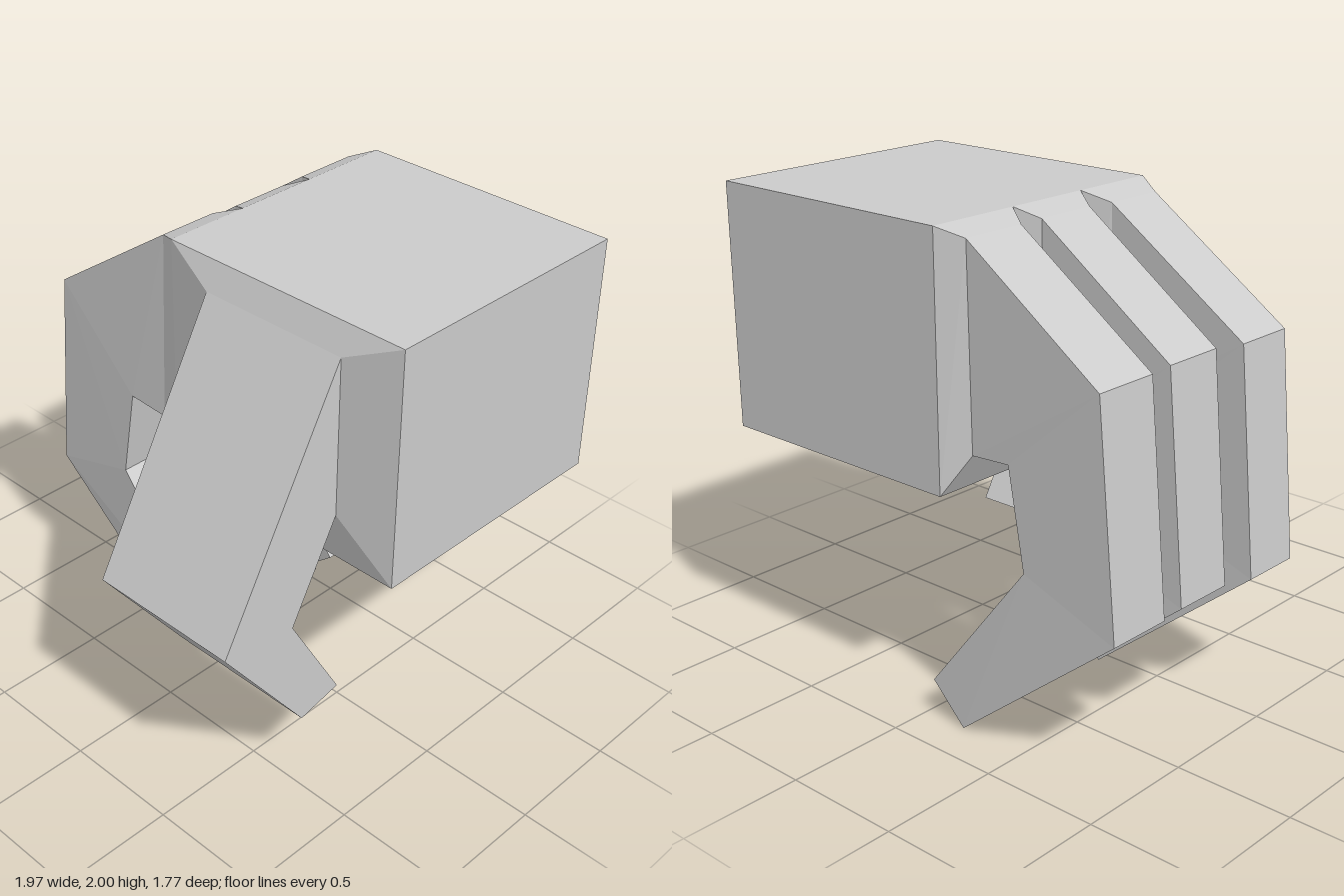
import * as THREE from 'three';

const material = new THREE.MeshStandardMaterial({ color: 0xcccccc, flatShading: true });

// Skin a chain of four-cornered sections and close the far end.
// Corners run clockwise as seen from the far end, starting on the outer side.
function loft(name, sections) {
  const pos = [];
  const quad = (a, b, c, d) => pos.push(...a, ...b, ...c, ...a, ...c, ...d);
  for (let s = 0; s < sections.length - 1; s++) {
    const p = sections[s], q = sections[s + 1];
    for (let i = 0; i < 4; i++) {
      const j = (i + 1) % 4;
      quad(p[i], q[i], q[j], p[j]);
    }
  }
  const [a, b, c, d] = sections[sections.length - 1];
  quad(d, c, b, a);
  const geometry = new THREE.BufferGeometry();
  geometry.setAttribute('position', new THREE.Float32BufferAttribute(pos, 3));
  geometry.computeVertexNormals();
  const mesh = new THREE.Mesh(geometry, material);
  mesh.name = name;
  return mesh;
}

// Curled finger: wide root on the palm, then root collar, two knuckles and tip
function finger(name, { root, outer, inner, dx, dy }) {
  const profile = [ // outer x, y, inner x, y
    [-0.28, 1.96, -0.28, 1.15],
    [-0.91, 1.53, -0.475, 1.16],
    [-0.985, 0.61, -0.545, 0.755],
    [-0.23, 0.003, -0.06, 0.15],
  ];
  const sections = [[
    [-0.17, 2, root[0]], [-0.17, 2, root[1]],
    [-0.17, 0.985, root[1]], [-0.17, 0.985, root[0]],
  ]];
  profile.forEach(([ox, oy, ix, iy], k) => {
    const shift = k === 0 ? dx * 0.4 : dx;
    sections.push([
      [ox + shift, oy + dy, outer[0]], [ox + shift, oy + dy, outer[1]],
      [ix + shift, iy + dy, inner[1]], [ix + shift, iy + dy, inner[0]],
    ]);
  });
  return loft(name, sections);
}

export function createModel() {
  const hand = new THREE.Group();
  hand.name = 'hand';

  // Palm block
  const palm = new THREE.Mesh(new THREE.BoxGeometry(1.15, 1.015, 1.155), material);
  palm.position.set(0.405, 1.4925, -0.3125);
  palm.name = 'palm';
  hand.add(palm);

  // Three fingers, each slightly twisted so the inner side sits further forward
  hand.add(finger('frontFinger', {
    root: [-0.11, 0.265], outer: [-0.055, 0.207], inner: [-0.043, 0.232], dx: 0, dy: 0,
  }));
  hand.add(finger('middleFinger', {
    root: [-0.485, -0.11], outer: [-0.43, -0.163], inner: [-0.418, -0.143], dx: 0.043, dy: 0,
  }));
  hand.add(finger('backFinger', {
    root: [-0.89, -0.485], outer: [-0.827, -0.545], inner: [-0.815, -0.525], dx: 0.03, dy: 0,
  }));

  // Thumb: x min, x max, outer y, z, inner y, z
  const thumb = [
    [-0.17, 0.98, 2, 0.265, 0.985, 0.265],
    [0.07, 0.74, 1.89, 0.315, 1.22, 0.315],
    [0.07, 0.74, 0.865, 0.885, 0.815, 0.535],
    [0.07, 0.74, 0.325, 0.475, 0.37, 0.275],
  ];
  hand.add(loft('thumb', thumb.map(([x0, x1, oy, oz, iy, iz]) => [
    [x0, oy, oz], [x1, oy, oz], [x1, iy, iz], [x0, iy, iz],
  ])));

  return hand;
}
